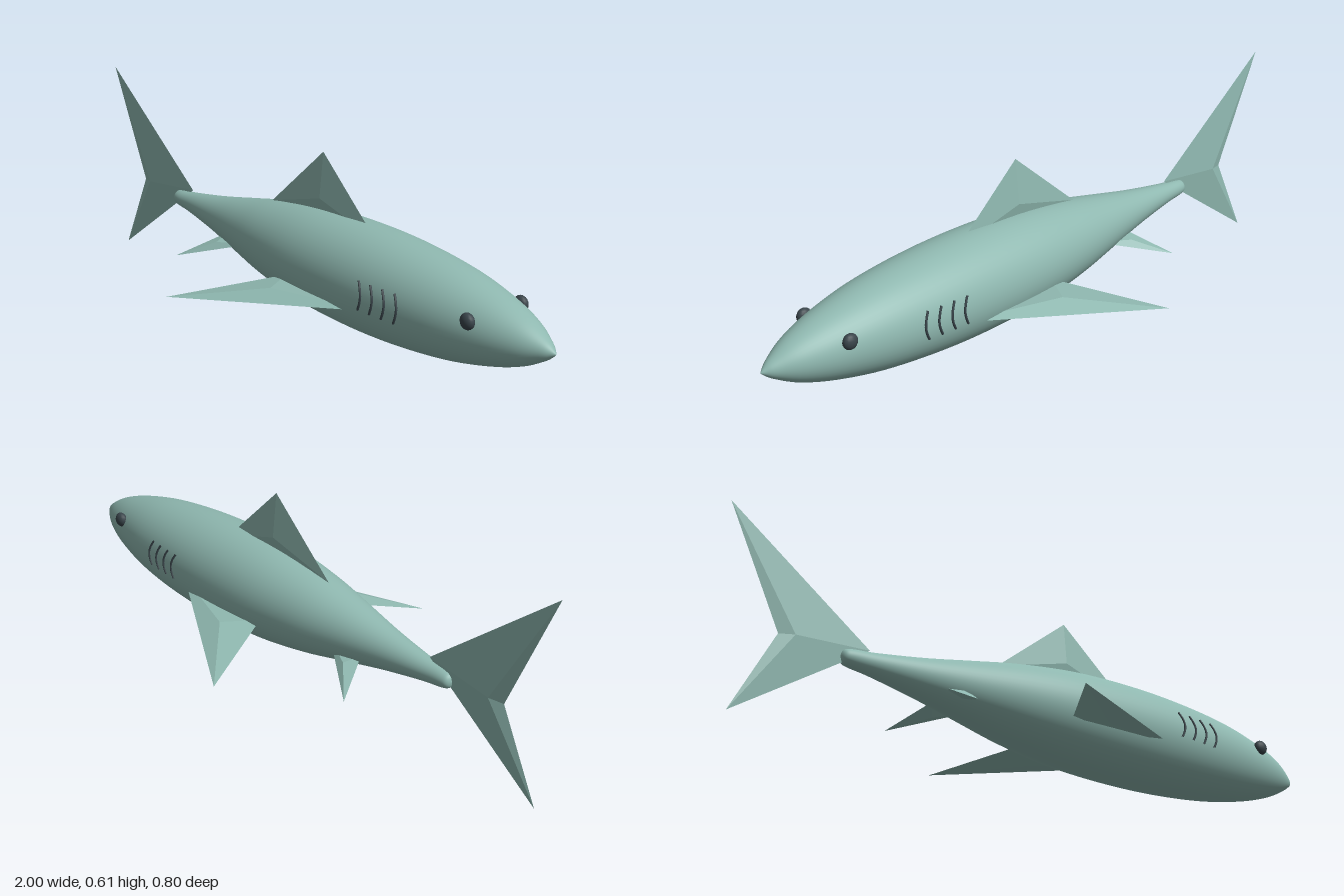
import * as THREE from 'three';

const AXIS_Y = 0.24;

// Smooth body radius along x, tail to nose
const profile = new THREE.SplineCurve([
  [-0.65, 0], [-0.643, 0.018], [-0.62, 0.026], [-0.55, 0.034], [-0.4, 0.059], [-0.25, 0.09],
  [-0.1, 0.12], [0.08, 0.144], [0.27, 0.152], [0.46, 0.147], [0.65, 0.128],
  [0.8, 0.097], [0.9, 0.064], [0.965, 0.029], [0.99, 0.01], [1, 0],
].map(([x, r]) => new THREE.Vector2(r, x)));
const profilePoints = profile.getPoints(75).map(p => new THREE.Vector2(Math.max(0, p.x), p.y));

function radiusAt(x) {
  const i = profilePoints.findIndex(p => p.y >= x);
  const a = profilePoints[i - 1], b = profilePoints[i];
  return a.x + (b.x - a.x) * (x - a.y) / (b.y - a.y);
}

// Faceted fin: a flat outline with a raised ridge point on both sides
function finGeometry(outline, centre, offset) {
  const pts = outline.map(p => new THREE.Vector3(...p));
  const mid = new THREE.Vector3(...centre);
  const positions = [];
  for (const side of [1, -1]) {
    const out = new THREE.Vector3(...offset).multiplyScalar(side);
    const apex = mid.clone().add(out);
    pts.forEach((a, i) => {
      const b = pts[(i + 1) % pts.length];
      const normal = b.clone().sub(a).cross(apex.clone().sub(a));
      const order = normal.dot(out) > 0 ? [a, b, apex] : [b, a, apex];
      order.forEach(v => positions.push(v.x, v.y, v.z));
    });
  }
  const geo = new THREE.BufferGeometry();
  geo.setAttribute('position', new THREE.Float32BufferAttribute(positions, 3));
  geo.computeVertexNormals();
  return geo;
}

export function createModel() {
  const group = new THREE.Group();
  const skin = new THREE.MeshStandardMaterial({ color: 0x8fb8b0 });
  skin.name = 'sea green skin';
  const dark = new THREE.MeshStandardMaterial({ color: 0x39444a });
  dark.name = 'dark slate';

  function add(name, geometry, material) {
    const mesh = new THREE.Mesh(geometry, material);
    mesh.name = name;
    group.add(mesh);
    return mesh;
  }

  // Body
  const bodyGeo = new THREE.LatheGeometry(profilePoints, 48);
  bodyGeo.rotateZ(-Math.PI / 2);
  add('body', bodyGeo, skin).position.y = AXIS_Y;

  // Fins on the centre line
  add('tailFin', finGeometry(
    [[-0.56, 0.28, 0], [-1, 0.605, 0], [-0.835, 0.253, 0], [-0.96, 0, 0]],
    [-0.79, 0.257, 0], [0, 0, 0.013]), skin);
  add('dorsalFin', finGeometry(
    [[0.325, 0.352, 0], [0.095, 0.556, 0], [-0.143, 0.352, 0]],
    [0.095, 0.42, 0], [0, 0, 0.014]), skin);

  // Paired fins, eyes and gills
  for (const s of [1, -1]) {
    const side = s > 0 ? 'Right' : 'Left';
    add('pectoralFin' + side, finGeometry(
      [[0.43, 0.2, 0.1 * s], [0.05, 0.195, 0.1 * s], [-0.125, 0.146, 0.4 * s]],
      [0.11, 0.18, 0.2 * s], [0, 0.017, 0.003 * s]), skin);
    add('pelvicFin' + side, finGeometry(
      [[-0.2, 0.205, 0.04 * s], [-0.33, 0.205, 0.04 * s], [-0.41, 0.14, 0.172 * s]],
      [-0.31, 0.183, 0.084 * s], [0, 0.01, 0.005 * s]), skin);

    const eye = add('eye' + side, new THREE.SphereGeometry(0.023, 14, 10), dark);
    eye.scale.z = 0.7;
    eye.position.set(0.785, 0.285, 0.097 * s);

    // Curved slits that follow the flank
    for (let i = 0; i < 4; i++) {
      const x0 = 0.416 + i * 0.044;
      const points = [0, 0.25, 0.5, 0.75, 1].map(t => {
        const x = x0 + 0.014 * Math.sin(Math.PI * t) + 0.005 * t;
        const dy = 0.055 - 0.081 * t;
        const r = radiusAt(x) + 0.001;
        return new THREE.Vector3(x, AXIS_Y + dy, s * Math.sqrt(r * r - dy * dy));
      });
      add('gillSlit' + side + (i + 1),
        new THREE.TubeGeometry(new THREE.CatmullRomCurve3(points), 12, 0.0035, 6), dark);
    }
  }
  return group;
}
